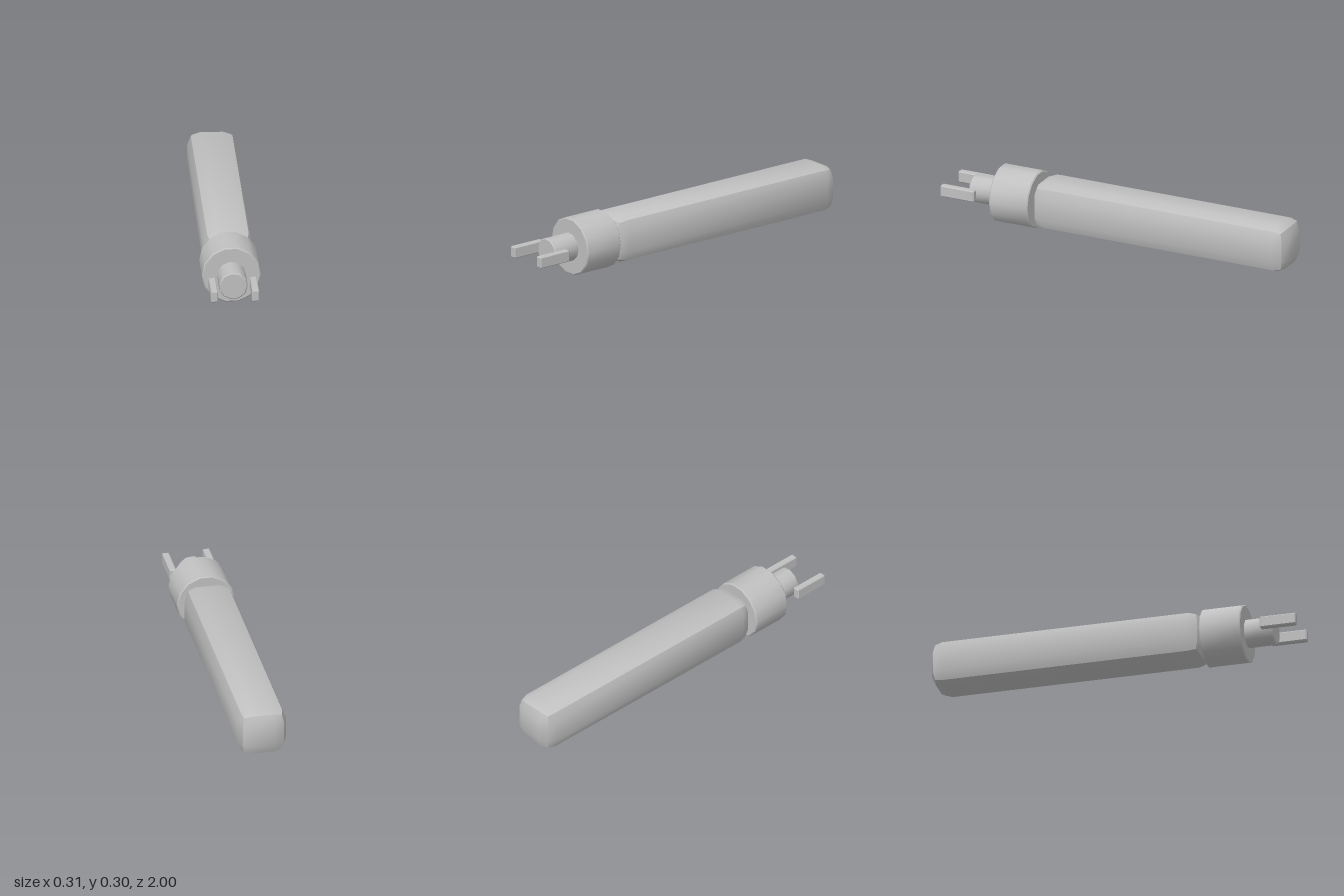
import * as THREE from 'three';
import { toCreasedNormals } from 'three/addons/utils/BufferGeometryUtils.js';
import { RoundedBoxGeometry } from 'three/addons/geometries/RoundedBoxGeometry.js';
import { ConvexGeometry } from 'three/addons/geometries/ConvexGeometry.js';

const CREASE = 0.6;
const AXIS_Y = 0.1525; // height of the long axis

// Drum along z with small chamfers at both ends and a corner pointing to +x
function drum(radius, z0, z1, sides, chamfer) {
  const profile = [
    [0, z0], [radius - chamfer, z0], [radius, z0 + chamfer],
    [radius, z1 - chamfer], [radius - chamfer, z1], [0, z1],
  ].map(([r, z]) => new THREE.Vector2(r, z));
  const geometry = new THREE.LatheGeometry(profile, sides, Math.PI / 2);
  geometry.rotateX(Math.PI / 2);
  return toCreasedNormals(geometry, CREASE);
}

// Box with single flat chamfers on every edge
function chamferBox(w, h, d, c) {
  const points = [];
  for (const x of [-w / 2, w / 2]) for (const y of [-h / 2, h / 2]) for (const z of [-d / 2, d / 2]) {
    const [ix, iy, iz] = [x, y, z].map((v) => v - Math.sign(v) * c);
    points.push(
      new THREE.Vector3(x, iy, iz),
      new THREE.Vector3(ix, y, iz),
      new THREE.Vector3(ix, iy, z),
    );
  }
  return new ConvexGeometry(points);
}

export function createModel() {
  const model = new THREE.Group();
  model.name = 'handheldTool';

  const grey = new THREE.MeshStandardMaterial({ color: 0xc0c0c0 });
  grey.name = 'plain grey';

  const add = (name, geometry, x = 0, z = 0) => {
    const mesh = new THREE.Mesh(geometry, grey);
    mesh.name = name;
    mesh.position.set(x, AXIS_Y, z);
    model.add(mesh);
  };

  // Long square handle with faceted, softened edges
  const handle = new RoundedBoxGeometry(0.26, 0.26, 1.48, 1, 0.07);
  add('handle', toCreasedNormals(handle, CREASE), 0, -0.26);

  // Wide collar and the narrower nozzle in front of it
  add('collar', drum(0.156, 0.48, 0.705, 14, 0.006));
  add('nozzle', drum(0.076, 0.7, 0.86, 11, 0.006));

  // Pair of prongs standing free on both sides of the nozzle
  for (const [name, side] of [['leftProng', 1], ['rightProng', -1]]) {
    add(name, chamferBox(0.037, 0.062, 0.195, 0.005), side * 0.1085, 0.9025);
  }

  return model;
}
